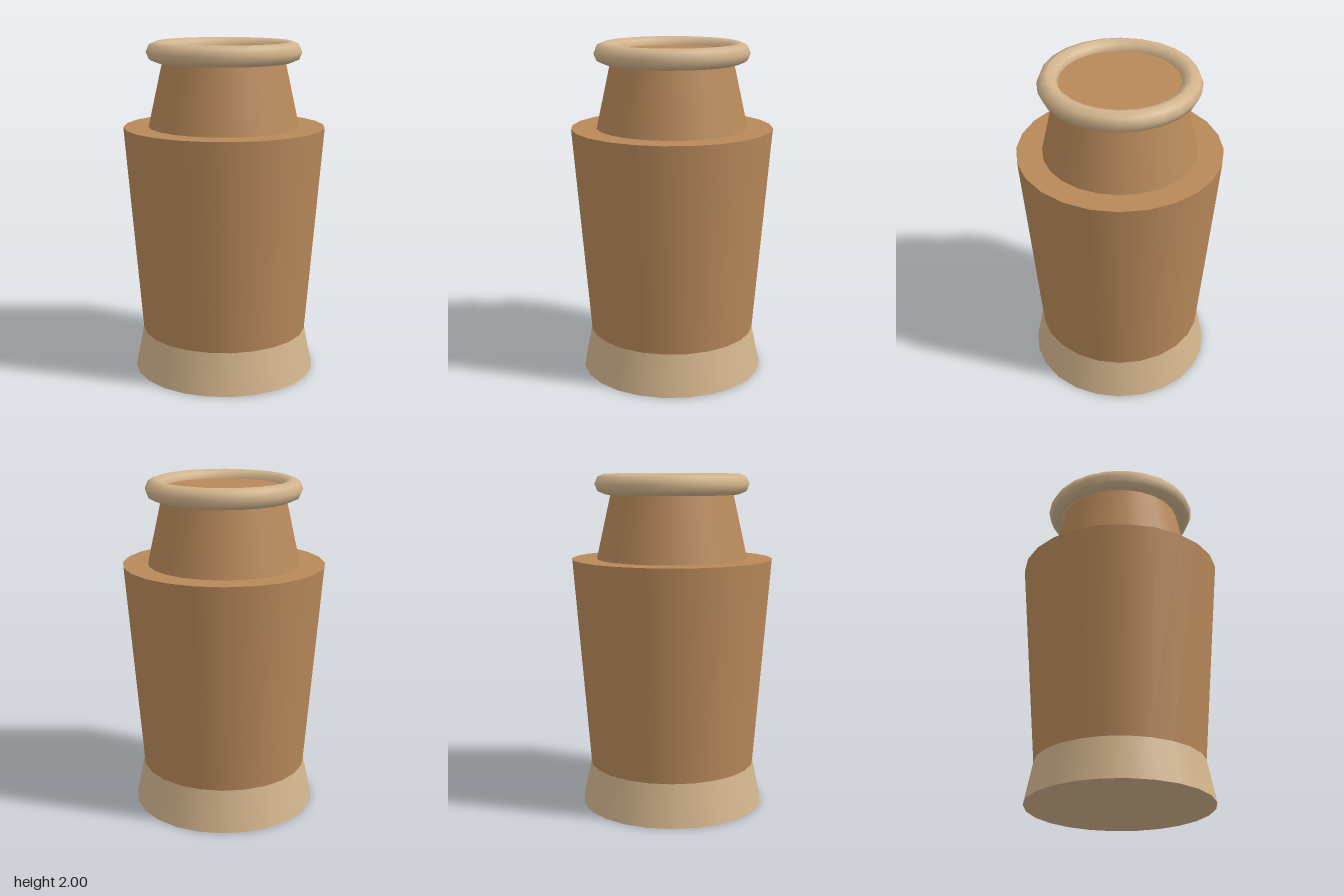
import * as THREE from 'three';

export function createModel() {
  const group = new THREE.Group();
  const clay = new THREE.MeshStandardMaterial({ color: 0xb8895a });
  clay.name = 'brown clay';
  const tan = new THREE.MeshStandardMaterial({ color: 0xd2b48c });
  tan.name = 'tan glaze';

  const SIDES = 24;
  const add = (name, geometry, material, y) => {
    const mesh = new THREE.Mesh(geometry, material);
    mesh.name = name;
    mesh.position.y = y;
    group.add(mesh);
    return mesh;
  };
  // Tapered round section standing on y = bottom
  const section = (name, rTop, rBottom, bottom, height, material) =>
    add(name, new THREE.CylinderGeometry(rTop, rBottom, height, SIDES), material, bottom + height / 2);

  // Flared foot, widening body, narrowing closed neck
  section('foot', 0.5, 0.55, 0, 0.25, tan);
  section('body', 0.6, 0.5, 0.25, 1.25, clay);
  section('neck', 0.35, 0.45, 1.5, 0.45, clay);

  // Rounded lip around the top of the neck
  const lip = new THREE.TorusGeometry(0.4, 0.06, 8, SIDES).rotateX(Math.PI / 2);
  add('lip', lip, tan, 1.94);

  return group;
}
